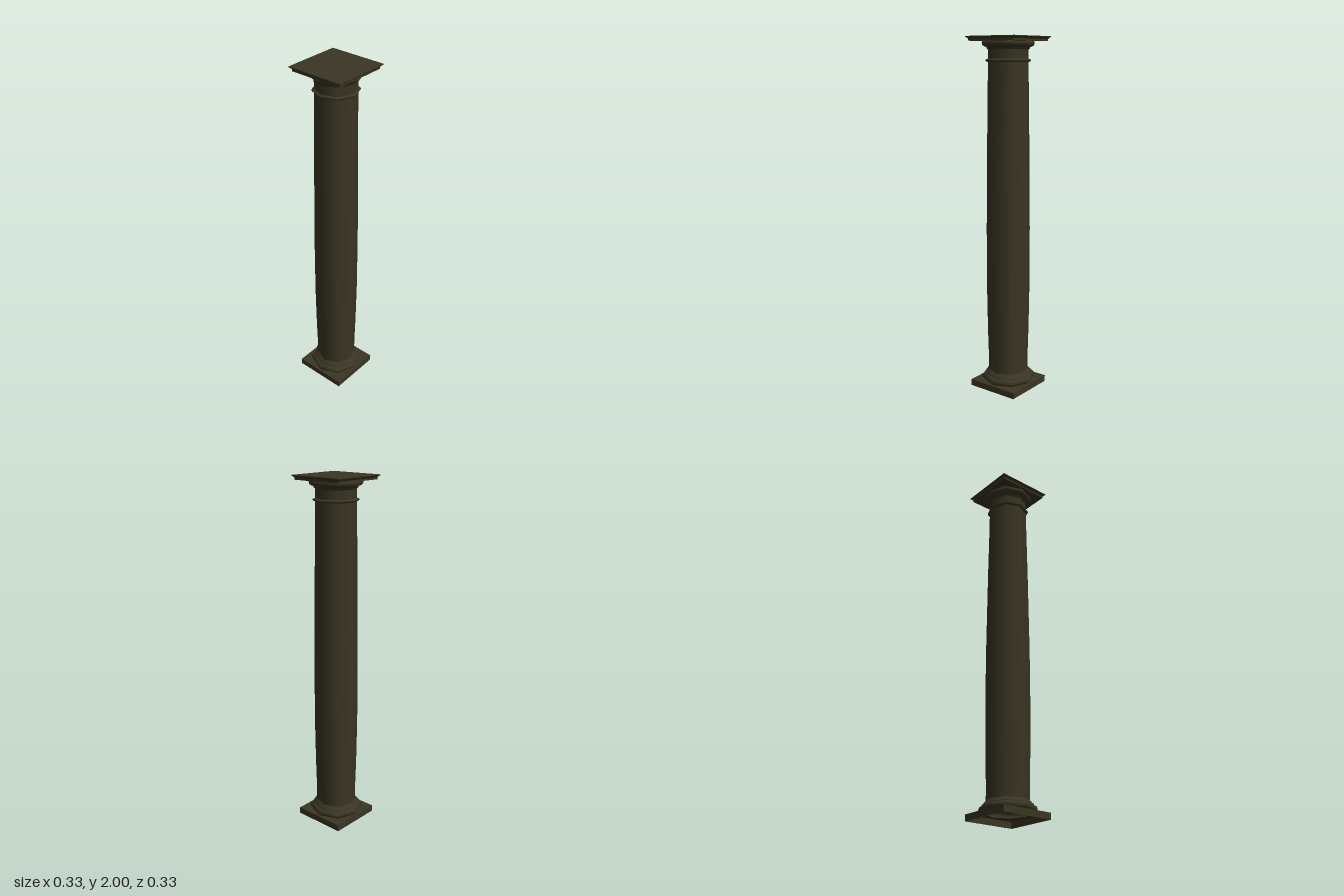
import * as THREE from 'three';

const SIDES = 8;

export function createModel() {
  const group = new THREE.Group();
  const smooth = new THREE.MeshStandardMaterial({ color: 0x3a3523, side: THREE.DoubleSide });
  const flat = smooth.clone();
  flat.flatShading = true;

  const add = (name, geometry, material) => {
    const mesh = new THREE.Mesh(geometry, material);
    mesh.name = name;
    group.add(mesh);
    return mesh;
  };
  const points = (list) => list.map(([r, y]) => new THREE.Vector2(r, y));

  // Octagonal turned part with smooth normals: [radius, height] pairs
  const turned = (name, list) => add(name, new THREE.LatheGeometry(points(list), SIDES), smooth);

  // Square moulding: [half width, height] pairs
  const square = (name, list) => {
    const profile = points(list.map(([w, y]) => [w * Math.SQRT2, y]));
    return add(name, new THREE.LatheGeometry(profile, 4).rotateY(Math.PI / 4), flat);
  };

  // Plinth: four walls, open underneath, with a top pierced below the shaft
  square('plinthWalls', [[0.155, 0], [0.155, 0.036]]);
  const top = new THREE.Shape(points([[-0.155, -0.155], [0.155, -0.155], [0.155, 0.155], [-0.155, 0.155]]));
  const hole = new THREE.Path();
  hole.setFromPoints(Array.from({ length: SIDES }, (_, i) => {
    const a = -i * 2 * Math.PI / SIDES;
    return new THREE.Vector2(0.125 * Math.cos(a), 0.125 * Math.sin(a));
  }));
  top.holes.push(hole);
  add('plinthTop', new THREE.ShapeGeometry(top).rotateX(-Math.PI / 2).translate(0, 0.036, 0), flat);

  // Base mouldings
  turned('baseTorus', [[0.125, 0.036], [0.144, 0.039], [0.152, 0.048], [0.153, 0.058],
    [0.148, 0.069], [0.138, 0.075], [0.125, 0.076]]);
  turned('baseFillet', [[0.134, 0.076], [0.134, 0.083], [0.124, 0.088], [0.121, 0.096], [0.114, 0.099]]);

  // Shaft with a gentle swelling
  turned('shaft', [[0.114, 0.09], [0.115, 0.2], [0.119, 0.34], [0.123, 0.6], [0.123, 0.94],
    [0.12, 1.2], [0.117, 1.46], [0.113, 1.7], [0.111, 1.87]]);

  // Capital: neck ring, neck and spreading echinus
  turned('neckRing', [[0.111, 1.864], [0.119, 1.866], [0.124, 1.872], [0.124, 1.877], [0.111, 1.881]]);
  turned('neck', [[0.111, 1.87], [0.111, 1.932]]);
  turned('echinus', [[0.111, 1.93], [0.118, 1.936], [0.118, 1.942], [0.132, 1.946], [0.141, 1.954],
    [0.144, 1.965], [0.14, 1.975], [0.12, 1.977]]);

  // Square abacus with a flared lip
  square('abacus', [[0.09, 1.975], [0.153, 1.975], [0.153, 1.985], [0.157, 1.99], [0.165, 1.996],
    [0.165, 2], [0, 2]]);

  return group;
}
